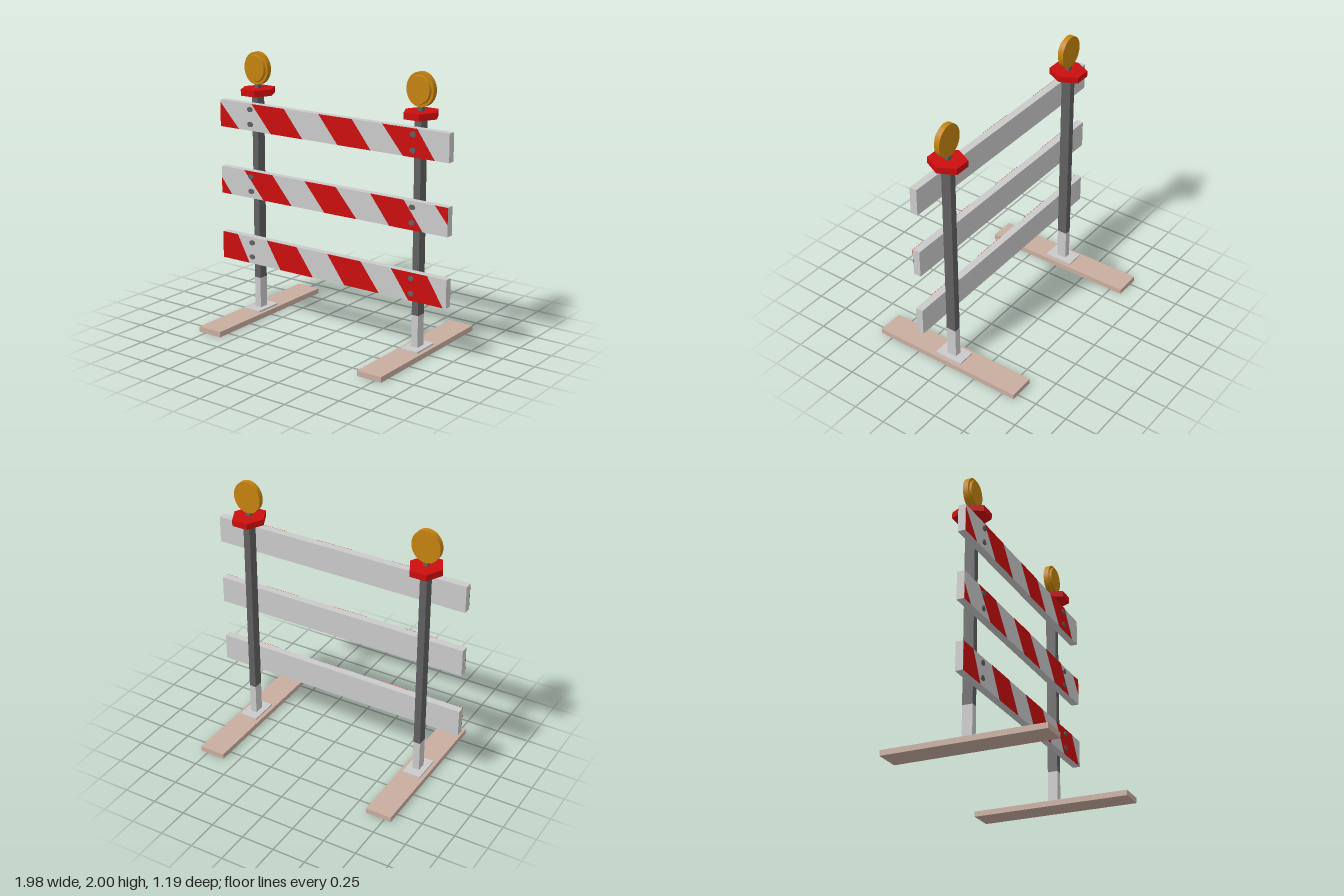
import * as THREE from 'three';

const mat = (name, color, side = THREE.FrontSide) => {
  const m = new THREE.MeshStandardMaterial({ color, side });
  m.name = name;
  return m;
};

export function createModel() {
  const model = new THREE.Group();
  model.name = 'roadBarricade';
  const paleGrey = mat('paleGrey', 0xcacaca);
  const red = mat('red', 0xcc0d0d);
  const darkGrey = mat('darkGrey', 0x606060);
  const amber = mat('amber', 0xc4820f);
  const wood = mat('wood', 0xc9ad9f);

  const add = (parent, name, geometry, material, x, y, z) => {
    const mesh = new THREE.Mesh(geometry, material);
    mesh.name = name;
    mesh.position.set(x, y, z);
    parent.add(mesh);
    return mesh;
  };
  const box = (parent, name, material, w, y0, y1, z0, z1) =>
    add(parent, name, new THREE.BoxGeometry(w, y1 - y0, z1 - z0), material, 0, (y0 + y1) / 2, (z0 + z1) / 2);
  // Elliptical disc facing the front
  const disc = (parent, name, material, rFront, rBack, ratio, x, y, z0, z1, sides) => {
    const g = new THREE.CylinderGeometry(rFront, rBack, z1 - z0, sides);
    g.rotateX(Math.PI / 2);
    g.scale(ratio, 1, 1);
    return add(parent, name, g, material, x, y, (z0 + z1) / 2);
  };

  // Two uprights, each with foot, sleeve, hexagonal collar and warning lamp
  for (const x of [-0.705, 0.705]) {
    const post = new THREE.Group();
    post.name = x < 0 ? 'rightUpright' : 'leftUpright';
    post.position.x = x;
    model.add(post);
    box(post, 'foot', wood, 0.196, 0, 0.04, -0.597, 0.597);
    box(post, 'basePlate', paleGrey, 0.14, 0.04, 0.052, -0.11, 0.11);
    box(post, 'sleeve', paleGrey, 0.052, 0.052, 0.287, -0.038, 0.038);
    box(post, 'post', darkGrey, 0.052, 0.287, 1.69, -0.038, 0.038);

    const hex = new THREE.CylinderGeometry(0.123, 0.123, 0.046, 6).toNonIndexed();
    hex.rotateY(Math.PI / 6);
    hex.scale(1, 1, 1.15);
    hex.computeVertexNormals();
    add(post, 'collar', hex, red, 0, 1.711, 0);

    box(post, 'lampStem', darkGrey, 0.034, 1.734, 1.78, -0.018, 0.018);
    disc(post, 'lampHousing', amber, 0.12, 0.12, 0.9, 0, 1.88, -0.02, 0.02, 40);
    disc(post, 'lampLens', amber, 0.095, 0.1, 0.9, 0, 1.88, 0.02, 0.037, 40);
  }

  // Boards: bottom, top, and stripes as [topLeft, topRight, bottomLeft, bottomRight]
  const boards = [
    [1.43, 1.63, [[-1.17, -1.005, -0.99, -0.815], [-0.69, -0.395, -0.515, -0.23],
      [-0.085, 0.2, 0.08, 0.36], [0.455, 0.735, 0.625, 0.877]]],
    [0.92, 1.125, [[-1.3, -1.06, -1.15, -0.893], [-0.77, -0.507, -0.59, -0.33],
      [-0.21, 0.063, -0.035, 0.243], [0.36, 0.635, 0.52, 0.792], [0.887, 1.15, 1.06, 1.32]]],
    [0.412, 0.617, [[-1.13, -0.845, -1.0, -0.735], [-0.565, -0.29, -0.44, -0.14],
      [-0.01, 0.28, 0.14, 0.438], [0.538, 0.833, 0.685, 0.963]]],
  ];
  const half = 0.988;
  // Trim a stripe outline to the board ends
  const clip = (pts, sign) => {
    const out = [];
    pts.forEach((a, i) => {
      const b = pts[(i + 1) % pts.length];
      const inA = sign * a.x <= half, inB = sign * b.x <= half;
      if (inA) out.push(a);
      if (inA !== inB) out.push(a.clone().lerp(b, (sign * half - a.x) / (b.x - a.x)));
    });
    return out;
  };

  boards.forEach(([y0, y1, stripes], i) => {
    const rail = new THREE.Group();
    rail.name = ['topRail', 'middleRail', 'bottomRail'][i];
    model.add(rail);
    box(rail, 'board', paleGrey, half * 2, y0, y1, 0.038, 0.094);
    for (const [tl, tr, bl, br] of stripes) {
      const corners = [[bl, y0], [br, y0], [tr, y1], [tl, y1]].map(([x, y]) => new THREE.Vector2(x, y));
      const outline = clip(clip(corners, 1), -1);
      const g = new THREE.ExtrudeGeometry(new THREE.Shape(outline), { depth: 0.002, bevelEnabled: false });
      add(rail, 'stripe', g, red, 0, 0, 0.094);
    }
    // Pairs of bolts over each upright
    for (const x of [-0.705, 0.705]) {
      for (const dy of [0.042, 0.152]) {
        disc(rail, 'bolt', darkGrey, 0.019, 0.019, 1.25, x, y1 - dy, 0.09, 0.102, 12);
      }
    }
  });

  return model;
}
